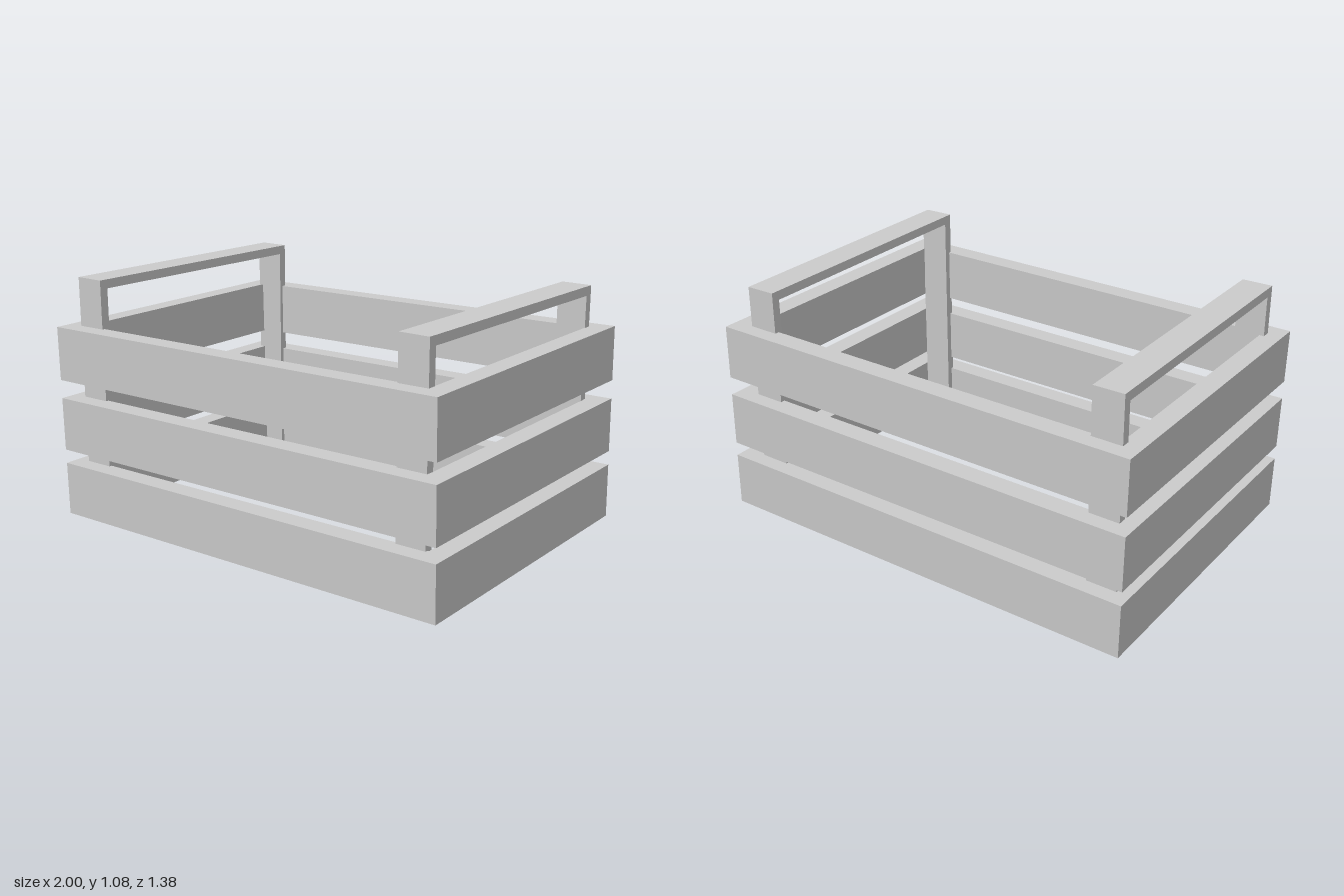
import * as THREE from 'three';

const material = new THREE.MeshStandardMaterial({ color: 0xcccccc, flatShading: true });

function board(name, size, position, parent) {
  const mesh = new THREE.Mesh(new THREE.BoxGeometry(...size), material);
  mesh.name = name;
  mesh.position.set(...position);
  parent.add(mesh);
}

// One rectangular ring of four slats, leaning slightly to one side
function slatRing(name, x, y) {
  const ring = new THREE.Group();
  ring.name = name;
  const height = 0.24, length = 1.982, depth = 1.385, thick = 0.09;
  for (const s of [1, -1]) {
    board(s > 0 ? 'frontSlat' : 'backSlat', [length, height, thick],
      [0, height / 2, s * (depth - thick) / 2], ring);
    board(s > 0 ? 'leftSlat' : 'rightSlat', [thick, height, depth - 2 * thick],
      [s * (length - thick) / 2, height / 2, 0], ring);
  }
  ring.position.set(x, y, 0);
  ring.rotation.z = 0.015;
  return ring;
}

// Two corner posts joined by a slightly sloping top bar, as one U-shaped outline
function handle(name, x) {
  const base = 0.04;
  const outline = [
    [-0.615, base], [-0.575, base], [-0.575, 1.045], [0.585, 1.035],
    [0.585, base], [0.623, base], [0.623, 1.075], [-0.615, 1.085],
  ].map(([px, py]) => new THREE.Vector2(px, py));
  const geometry = new THREE.ExtrudeGeometry(new THREE.Shape(outline), { depth: 0.135, bevelEnabled: false });
  geometry.rotateY(Math.PI / 2);
  const mesh = new THREE.Mesh(geometry, material);
  mesh.name = name;
  mesh.position.x = x;
  return mesh;
}

export function createModel() {
  const crate = new THREE.Group();
  crate.name = 'crate';
  crate.add(
    slatRing('lowerSlats', 0.005, 0.016),
    slatRing('middleSlats', 0, 0.319),
    slatRing('upperSlats', -0.005, 0.642),
    handle('rightHandle', -0.93),
    handle('leftHandle', 0.76),
  );
  return crate;
}
